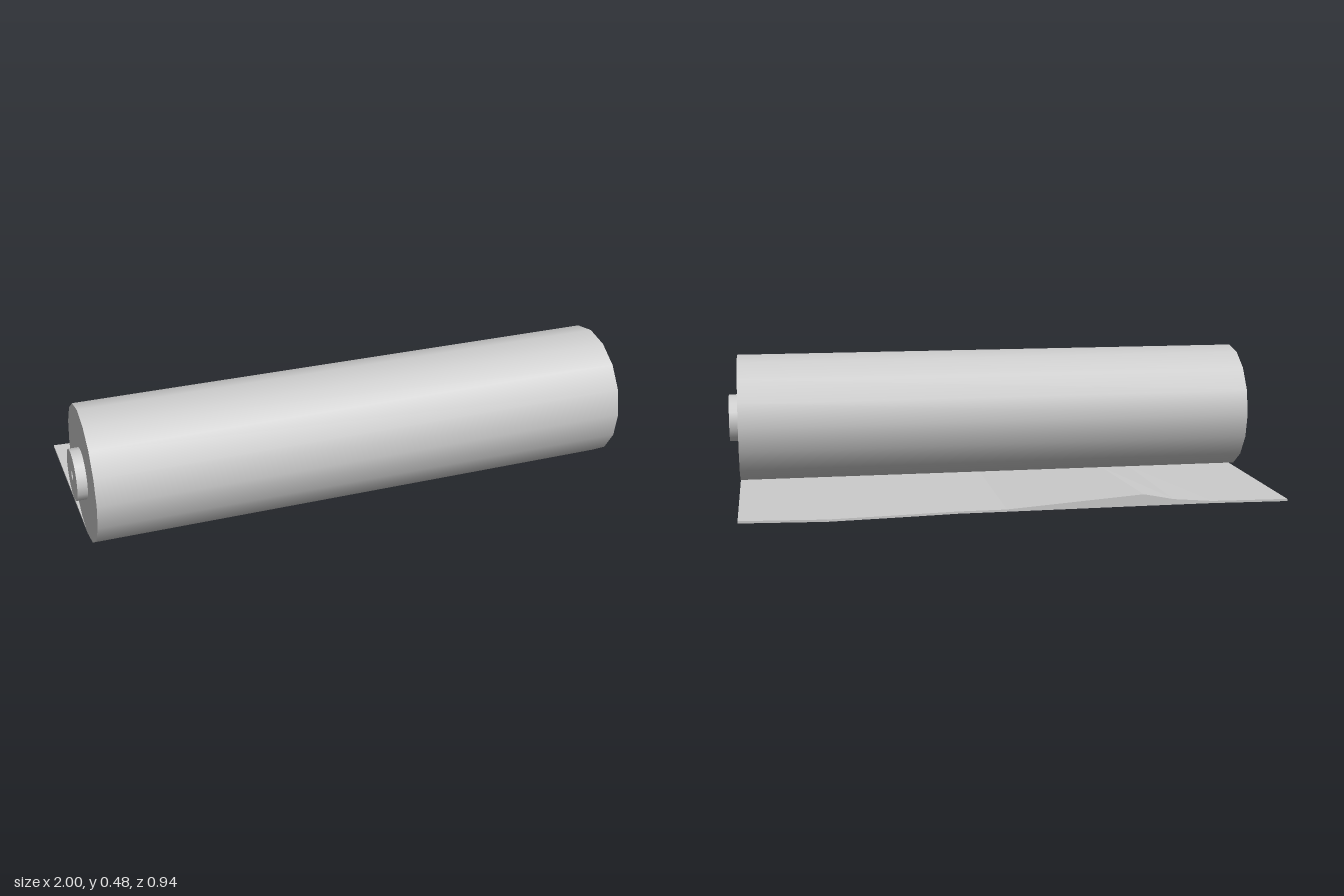
import * as THREE from 'three';
import { toCreasedNormals } from 'three/addons/utils/BufferGeometryUtils.js';

const AXIS_Y = 0.242, AXIS_Z = 0.23, HALF = 0.965;

// Loose sheet: cross-sections along x, each [x, back edge z, extra height of the back edge]
function sheetGeometry() {
  const columns = [
    [-HALF, -0.445, 0], [-0.69, -0.43, 0], [-0.55, -0.43, 0.012], [-0.44, -0.43, 0.034],
    [0.05, -0.434, 0], [0.22, -0.434, 0], [0.45, -0.455, 0], [0.67, -0.472, 0], [HALF, -0.445, 0],
  ];
  const t = 0.008;
  const sections = columns.map(([x, z, lift]) => [
    [x, 0, AXIS_Z], [x, 0, z], [x, t + lift, z], [x, t, 0.19], [x, t, AXIS_Z],
  ]);
  const pos = [];
  const tri = (a, b, c) => pos.push(...a, ...b, ...c);
  for (let i = 0; i < sections.length - 1; i++) {
    const s = sections[i], e = sections[i + 1];
    for (let j = 0; j < 5; j++) {
      const k = (j + 1) % 5;
      tri(s[j], s[k], e[k]);
      tri(s[j], e[k], e[j]);
    }
  }
  // side edges
  const first = sections[0], last = sections[sections.length - 1];
  for (let j = 1; j < 4; j++) {
    tri(first[0], first[j + 1], first[j]);
    tri(last[0], last[j], last[j + 1]);
  }
  const g = new THREE.BufferGeometry();
  g.setAttribute('position', new THREE.Float32BufferAttribute(pos, 3));
  g.computeVertexNormals();
  return g;
}

export function createModel() {
  const group = new THREE.Group();
  group.name = 'sheetRoll';
  const grey = new THREE.MeshStandardMaterial({ color: 0xcccccc });
  grey.name = 'lightGrey';

  const add = (name, geometry) => {
    const mesh = new THREE.Mesh(geometry, grey);
    mesh.name = name;
    group.add(mesh);
    return mesh;
  };

  // Wound material
  const roll = add('roll', new THREE.CylinderGeometry(0.24, 0.24, HALF * 2, 16));

  // Core running through the roll, with a small dimple in each end
  const profile = [[0, -0.97], [0.018, -1], [0.09, -1], [0.09, 1], [0.018, 1], [0, 0.97]]
    .map(([r, y]) => new THREE.Vector2(r, y));
  const core = add('core', toCreasedNormals(new THREE.LatheGeometry(profile, 16), 0.6));

  for (const part of [roll, core]) {
    part.rotation.z = Math.PI / 2;
    part.position.set(0, AXIS_Y, AXIS_Z);
  }

  // Unrolled end lying on the ground
  add('looseSheet', sheetGeometry());
  return group;
}
